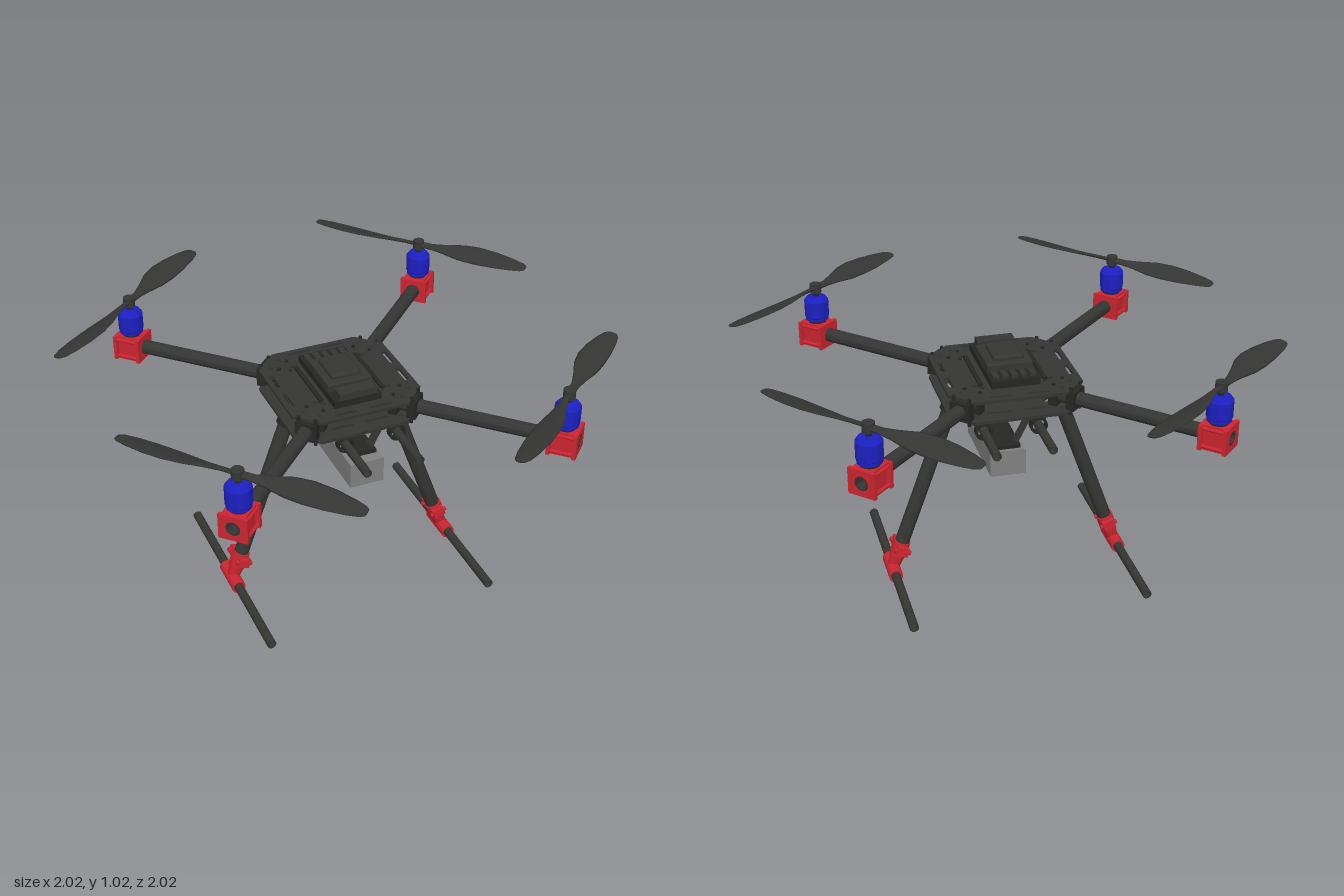
import * as THREE from 'three';
import { RoundedBoxGeometry } from 'three/addons/geometries/RoundedBoxGeometry.js';
import { toCreasedNormals } from 'three/addons/utils/BufferGeometryUtils.js';

const mat = (color) => new THREE.MeshStandardMaterial({ color });
const DARK = mat(0x353633), BLACK = mat(0x262725), RED = mat(0xcc2530), BLUE = mat(0x1c20c0), GREY = mat(0x808080);
const V = (x, y, z) => new THREE.Vector3(x, y, z);

function add(parent, name, geometry, material, x = 0, y = 0, z = 0) {
  const m = new THREE.Mesh(geometry, material);
  m.name = name;
  m.position.set(x, y, z);
  parent.add(m);
  return m;
}
const box = (p, name, material, w, h, d, x, y, z) => add(p, name, new THREE.BoxGeometry(w, h, d), material, x, y, z);
const cyl = (p, name, material, r, h, x, y, z, n = 24) => add(p, name, new THREE.CylinderGeometry(r, r, h, n), material, x, y, z);
const lathe = (pts, n = 28) => toCreasedNormals(
  new THREE.LatheGeometry(pts.map(([r, y]) => new THREE.Vector2(r, y)), n), 0.6);

// Hollow round tube between two points
function tube(parent, name, a, b, r, material = DARK) {
  const len = a.distanceTo(b), i = r * 0.75;
  const m = add(parent, name, lathe([[i, 0], [r, 0], [r, len], [i, len], [i, 0]]
    .map(([q, y]) => [q, y - len / 2])), material);
  m.position.copy(a).add(b).multiplyScalar(0.5);
  m.quaternion.setFromUnitVectors(V(0, 1, 0), b.clone().sub(a).normalize());
  return m;
}

// Rounded slot for cutting through a shape
function slot(shape, x, y, length, width, angle = 0) {
  const p = new THREE.Path(), r = width / 2, h = length / 2 - r, pts = [];
  for (let i = 0; i < 16; i++) {
    const t = (i < 8 ? i / 7 : 1 + (i - 8) / 7) * Math.PI - Math.PI / 2;
    const u = (i < 8 ? h : -h) + Math.cos(t) * r, v = Math.sin(t) * r;
    pts.push(new THREE.Vector2(x + u * Math.cos(angle) - v * Math.sin(angle), y + u * Math.sin(angle) + v * Math.cos(angle)));
  }
  shape.holes.push(p.setFromPoints(pts));
}

// Eight-sided frame plate with slots; edgeRadius moves the outer slots
function framePlate(edgeRadius) {
  const a = 0.262, c = 0.175;
  const s = new THREE.Shape([[a, -c], [a, c], [c, a], [-c, a], [-a, c], [-a, -c], [-c, -a], [c, -a]]
    .map(([x, y]) => new THREE.Vector2(x, y)));
  for (let k = 0; k < 4; k++) {
    const t = k * Math.PI / 2, cs = Math.cos(t), sn = Math.sin(t);
    const cut = (x, y, l, w, ang) => slot(s, x * cs - y * sn, x * sn + y * cs, l, w, ang + t);
    for (const e of [-1, 1]) cut(edgeRadius, e * 0.07, 0.09, 0.016, Math.PI / 2);
    cut(0.135, 0.135, 0.055, 0.022, -Math.PI / 4);
    for (const e of [-1, 1]) cut(0.19 + e * 0.023, 0.19 - e * 0.023, 0.014, 0.012, 0);
  }
  return new THREE.ExtrudeGeometry(s, { depth: 0.012, bevelEnabled: false }).rotateX(-Math.PI / 2);
}

// Twisted blade lofted from lens-shaped sections along +z: [radius, chord, sweep]
function bladeGeometry() {
  const stations = [[0, 0.03, 0], [0.06, 0.032, 0], [0.12, 0.055, 0.004], [0.19, 0.092, 0.008], [0.26, 0.106, 0.009],
    [0.34, 0.1, 0.006], [0.42, 0.078, 0.001], [0.465, 0.056, -0.002], [0.48, 0.034, -0.003]];
  const n = 12, pos = [], idx = [];
  stations.forEach(([r, chord, sweep], i) => {
    const pitch = 0.42 - 0.6 * r, thick = 0.016 - 0.02 * r;
    for (let k = 0; k < n; k++) {
      const t = k / n * Math.PI * 2, u = Math.cos(t) * chord / 2, v = Math.sin(t) * thick / 2;
      pos.push(sweep + u * Math.cos(pitch) - v * Math.sin(pitch), u * Math.sin(pitch) + v * Math.cos(pitch), r);
      const a = i * n + k, b = i * n + (k + 1) % n;
      if (i < stations.length - 1) idx.push(a, b, b + n, a, b + n, a + n);
      else if (k > 1) idx.push(i * n, a - 1, a);
    }
  });
  const g = new THREE.BufferGeometry();
  g.setAttribute('position', new THREE.Float32BufferAttribute(pos, 3));
  g.setIndex(idx);
  g.computeVertexNormals();
  return g;
}

// One boom with clamps, motor and propeller, pointing along +x
function buildArm(blade) {
  const arm = new THREE.Group(), R = 0.895, y = 0.81;
  arm.name = 'arm';
  tube(arm, 'armTube', V(0.23, y, 0), V(R + 0.055, y, 0), 0.028);
  for (const x of [0.235, 0.31]) {
    box(arm, 'armClamp', BLACK, 0.035, 0.074, 0.085, x, y, 0);
    for (const e of [-1, 1]) cyl(arm, 'clampBolt', BLACK, 0.007, 0.112, x, y, e * 0.034, 10);
  }

  // Motor mount: end plates with a bore, joined by a narrower sleeve
  const ring = (w, h, depth) => {
    const s = new THREE.Shape([[-w, -h], [w, -h], [w, h], [-w, h]].map(([a, b]) => new THREE.Vector2(a, b)));
    s.holes.push(new THREE.Path().absarc(0, 0, 0.028, 0, Math.PI * 2, true));
    return new THREE.ExtrudeGeometry(s, { depth, bevelEnabled: false, curveSegments: 20 })
      .translate(0, 0, -depth / 2).rotateY(Math.PI / 2);
  };
  for (const e of [-1, 1]) {
    add(arm, 'mountEndPlate', ring(0.056, 0.05, 0.014), RED, R + e * 0.049, y, 0);
    box(arm, 'mountFlange', RED, 0.1, 0.012, 0.088, R, y + e * 0.044, 0);
    for (const f of [-1, 1]) {
      const b = cyl(arm, 'mountBolt', RED, 0.007, 0.112, R, y + e * 0.036, f * 0.046, 10);
      b.rotation.z = Math.PI / 2;
    }
  }
  add(arm, 'mountSleeve', ring(0.038, 0.04, 0.09), RED, R, y, 0);

  // Motor
  cyl(arm, 'motorBase', BLACK, 0.036, 0.018, R, 0.868, 0);
  add(arm, 'motorCan', lathe([[0, 0.872], [0.046, 0.872], [0.046, 0.885], [0.049, 0.888], [0.049, 0.953],
    [0.038, 0.968], [0.022, 0.972], [0, 0.972]], 32), BLUE, R, 0, 0);
  cyl(arm, 'motorShaft', BLACK, 0.012, 0.06, R, 0.985, 0, 16);

  // Propeller
  const prop = new THREE.Group();
  prop.name = 'propeller';
  prop.position.set(R, 1.005, 0);
  prop.rotation.y = -0.08;
  cyl(prop, 'propellerHub', DARK, 0.023, 0.036, 0, 0, 0);
  for (const e of [0, 1]) add(prop, 'propellerBlade', blade, DARK).rotation.y = e * Math.PI;
  arm.add(prop);
  return arm;
}

// Landing leg on one side (s = +1 or -1)
function buildLeg(s) {
  const leg = new THREE.Group(), top = V(s * 0.2, 0.765, 0), foot = V(s * 0.465, 0.028, 0);
  leg.name = s > 0 ? 'leftLandingLeg' : 'rightLandingLeg';
  const at = (t) => top.clone().lerp(foot, t);
  tube(leg, 'legTube', top, at(0.9), 0.029);
  tube(leg, 'legTopCollar', at(0.015), at(0.08), 0.038, BLACK);
  box(leg, 'legBracket', BLACK, 0.08, 0.014, 0.11, s * 0.2, 0.762, 0);
  tube(leg, 'skidTube', V(s * 0.465, 0.028, -0.445), V(s * 0.465, 0.028, 0.445), 0.018);
  tube(leg, 'footSleeve', V(s * 0.465, 0.028, -0.075), V(s * 0.465, 0.028, 0.075), 0.028, RED);

  // Tapered socket and its bolted ears, aligned with the leg
  const socket = new THREE.Group();
  socket.name = 'footSocket';
  socket.position.copy(foot);
  socket.rotation.z = Math.atan2(foot.x - top.x, top.y - foot.y);
  const body = add(socket, 'socketBody', lathe([[0, 0], [0.026, 0], [0.03, 0.04], [0.037, 0.07], [0.037, 0.125], [0, 0.125]]), RED);
  body.scale.x = 0.92;
  for (const e of [-1, 1]) {
    box(socket, 'socketEar', RED, 0.05, 0.036, 0.026, 0, 0.1, e * 0.044);
    cyl(socket, 'socketBolt', RED, 0.009, 0.07, 0, 0.1, e * 0.045, 10).rotation.z = Math.PI / 2;
  }
  leg.add(socket);
  return leg;
}

// Rails, hangers, cradle and payload block under the frame
function buildPayload() {
  const g = new THREE.Group(), cx = 0.033;
  g.name = 'payloadMount';
  for (const s of [-1, 1]) {
    const x = cx + s * 0.106;
    tube(g, 'payloadRail', V(x, 0.722, -0.445), V(x, 0.722, 0.445), 0.017);
    for (const z of [-0.232, 0.232]) {
      tube(g, 'railHangerRing', V(x, 0.722, z - 0.014), V(x, 0.722, z + 0.014), 0.034, BLACK);
      box(g, 'railHangerTab', BLACK, 0.05, 0.022, 0.03, x, 0.76, z);
    }
    for (const z of [-0.125, 0.125]) {
      tube(g, 'strutRing', V(x, 0.722, z - 0.017), V(x, 0.722, z + 0.017), 0.027, BLACK);
      const a = V(x - s * 0.012, 0.705, z), b = V(cx + s * 0.045, 0.61, z), d = b.clone().sub(a);
      const strut = box(g, 'cradleStrut', DARK, 0.014, d.length(), 0.034, 0, 0, 0);
      strut.position.copy(a).add(b).multiplyScalar(0.5);
      strut.rotation.z = Math.atan2(d.x, -d.y);
    }
  }
  box(g, 'cradlePlate', BLACK, 0.11, 0.016, 0.33, cx, 0.603, 0);
  box(g, 'payloadBlock', GREY, 0.14, 0.105, 0.39, 0.03, 0.543, 0.015);
  return g;
}

export function createModel() {
  const model = new THREE.Group();
  model.name = 'quadcopter';

  // Central frame
  add(model, 'topPlate', framePlate(0.235), DARK, 0, 0.847, 0);
  add(model, 'bottomPlate', framePlate(0.2), DARK, 0, 0.764, 0);

  // Electronics on the top plate
  const stack = new THREE.Group();
  stack.name = 'electronics';
  box(stack, 'baseTray', BLACK, 0.19, 0.03, 0.365, -0.003, 0.873, 0.013);
  box(stack, 'frontModule', DARK, 0.15, 0.03, 0.055, -0.003, 0.9, 0.168);
  add(stack, 'controllerCase', new RoundedBoxGeometry(0.18, 0.035, 0.2, 2, 0.008), DARK, -0.003, 0.9, 0.02);
  add(stack, 'controllerLid', new RoundedBoxGeometry(0.12, 0.03, 0.145, 3, 0.012), DARK, -0.005, 0.921, 0.018);
  for (let i = 0; i < 5; i++) box(stack, 'rearConnector', DARK, 0.022, 0.014, 0.05, -0.075 + i * 0.036, 0.892, -0.125);
  for (const e of [-1, 1]) box(stack, 'sideRail', BLACK, 0.016, 0.012, 0.26, e * 0.125, 0.862, 0);
  model.add(stack);

  // Four arms
  const blade = bladeGeometry();
  for (let k = 0; k < 4; k++) {
    const arm = buildArm(blade);
    arm.rotation.y = Math.PI / 4 + k * Math.PI / 2;
    model.add(arm);
  }

  for (const s of [-1, 1]) model.add(buildLeg(s));
  model.add(buildPayload());
  return model;
}
